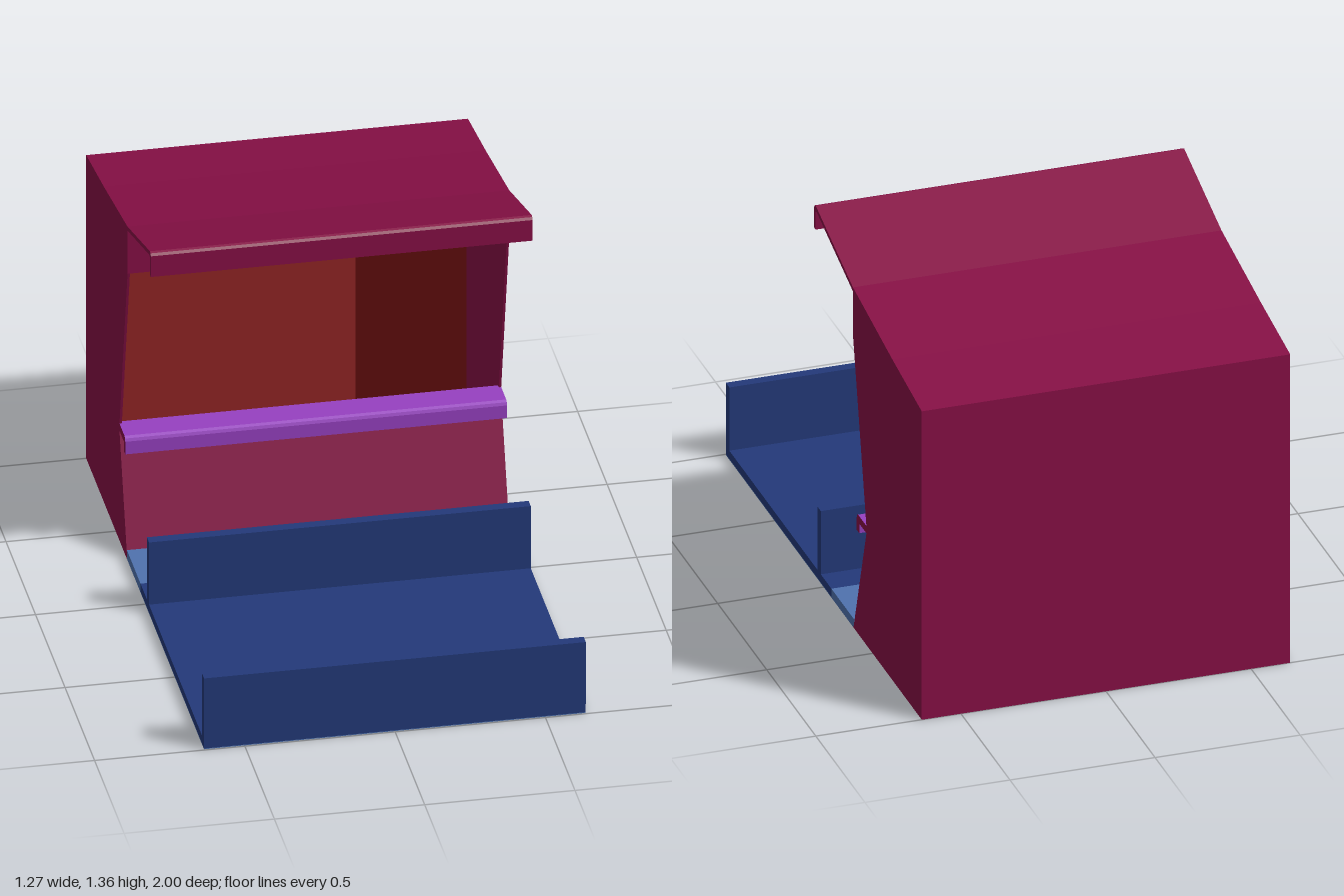
import * as THREE from 'three';

const mat = (name, color) => {
  const m = new THREE.MeshStandardMaterial({ color });
  m.name = name;
  return m;
};

export function createModel() {
  const maroon = mat('maroon', 0x860f45);
  const navy = mat('navy blue', 0x233979);
  const paleBlue = mat('pale blue', 0x4f72ae);
  const brick = mat('brick red', 0x902424);
  const darkRed = mat('dark red', 0x5e0c0c);
  const purple = mat('purple', 0x9640c0);

  const group = new THREE.Group();
  const W = 1.27; // overall width

  const add = (name, geometry, material) => {
    const mesh = new THREE.Mesh(geometry, material);
    mesh.name = name;
    group.add(mesh);
    return mesh;
  };

  // Box given by its min and max corners
  const box = (name, material, [x0, y0, z0], [x1, y1, z1]) =>
    add(name, new THREE.BoxGeometry(x1 - x0, y1 - y0, z1 - z0)
      .translate((x0 + x1) / 2, (y0 + y1) / 2, (z0 + z1) / 2), material);

  // Side profile of [z, y] points, extruded along x about a centre
  const profile = (name, material, points, width, centre = 0) => {
    const shape = new THREE.Shape(points.map(([z, y]) => new THREE.Vector2(z, y)));
    const geo = new THREE.ExtrudeGeometry(shape, { depth: width, bevelEnabled: false });
    geo.translate(0, 0, -width / 2).rotateY(-Math.PI / 2).translate(centre, 0, 0);
    return add(name, geo, material);
  };

  const h = W / 2;
  const inner = h - 0.008;

  // Base: thin underside plate, tray, connecting strip and booth floor
  box('undersidePlate', paleBlue, [-h, 0, -0.305], [h, 0.003, 0.995]);
  box('trayFloor', navy, [-h, 0.003, -0.08], [h, 0.033, 0.995]);
  box('connectingStrip', paleBlue, [-h, 0.003, -0.31], [h, 0.033, -0.08]);
  box('boothFloor', navy, [-inner, 0, -0.99], [inner, 0.02, -0.305]);

  // Upright boards across the tray
  for (const [name, z] of [['frontBoard', 0.96], ['rearBoard', 0.028]]) {
    box(name, navy, [-h, 0.033, z], [h, 0.265, z + 0.036]);
  }

  // Side walls with the pinched front edge
  const side = [[-1, 0], [-0.305, 0], [-0.44, 0.42], [-0.3, 1.07],
    [-0.3, 1.235], [-0.7, 1.17], [-1, 1.12]];
  for (const s of [-1, 1]) {
    profile(s > 0 ? 'leftWall' : 'rightWall', maroon, side, 0.008, s * (h - 0.004));
  }

  // Rear wall and its inner panels
  box('rearWall', maroon, [-inner, 0, -1], [inner, 1.122, -0.99]);
  box('innerPanel', brick, [-inner, 0.02, -0.99], [0.258, 1.11, -0.984]);
  box('innerPanelDark', darkRed, [0.258, 0.02, -0.99], [inner, 1.11, -0.984]);

  // Front: sloping lower panel and header over the opening
  profile('lowerPanel', maroon,
    [[-0.305, 0.0], [-0.44, 0.42], [-0.45, 0.42], [-0.315, 0.0]], 2 * inner);
  box('header', maroon, [-inner, 1.07, -0.31], [inner, 1.235, -0.3]);

  // Counter ledge with a turned-down lip and plain ends
  profile('counterLedge', [maroon, purple],
    [[-0.45, 0.41], [-0.364, 0.41], [-0.364, 0.375], [-0.338, 0.375],
      [-0.338, 0.422], [-0.342, 0.432], [-0.352, 0.437], [-0.45, 0.437]], W);

  // Roof running forward into the awning and its lip
  profile('roofAndAwning', maroon,
    [[-1, 1.118], [-0.7, 1.163], [-0.3, 1.231], [0.07, 1.342], [0.08, 1.338],
      [0.08, 1.273], [0.095, 1.273], [0.095, 1.35], [0.089, 1.358], [0.08, 1.361],
      [-0.3, 1.246], [-0.7, 1.177], [-1, 1.132]], W);

  return group;
}
